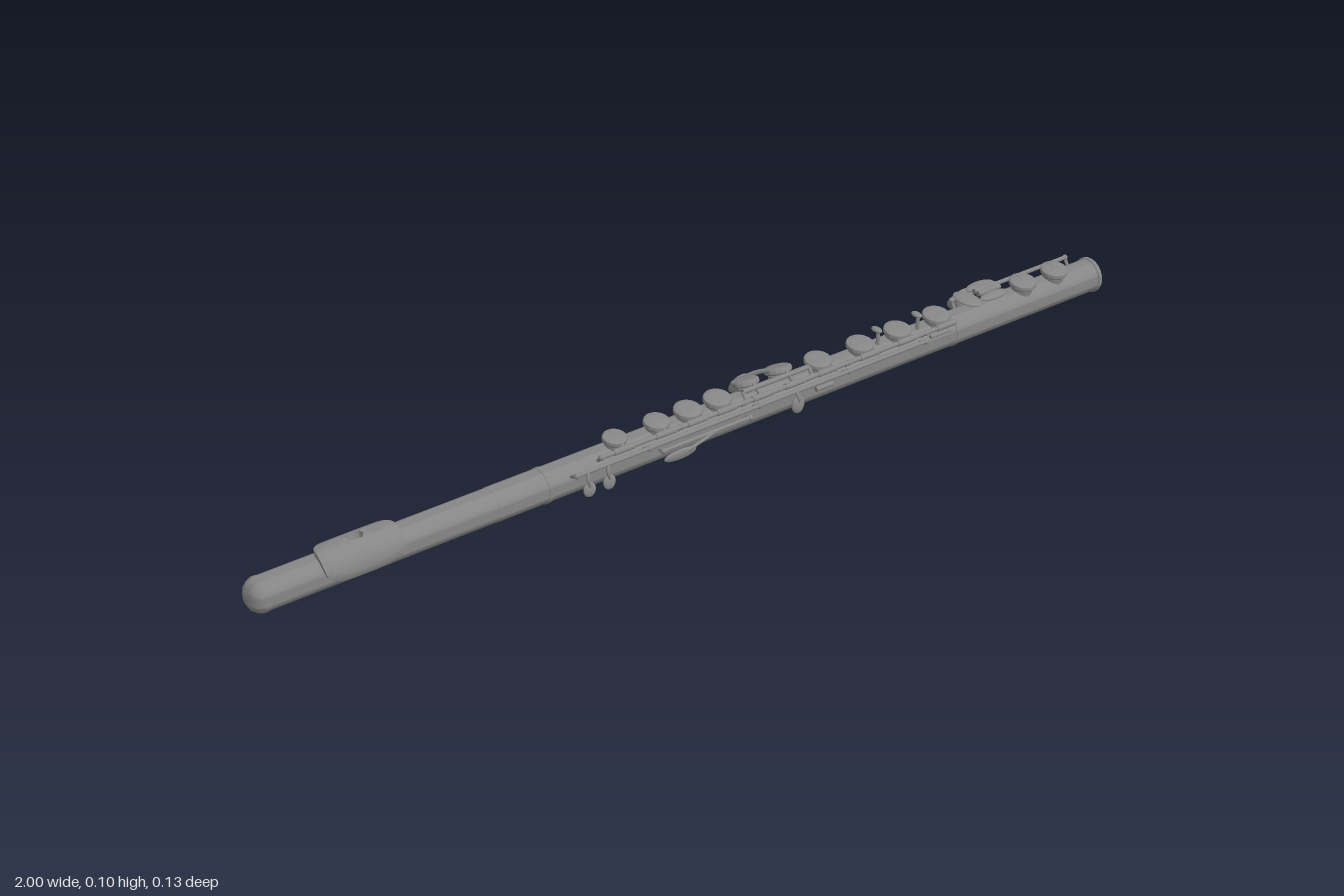
import * as THREE from 'three';
import { toCreasedNormals } from 'three/addons/utils/BufferGeometryUtils.js';

const mat = new THREE.MeshStandardMaterial({ color: 0x868686 });
const thinMat = new THREE.MeshStandardMaterial({ color: 0x868686, side: THREE.DoubleSide });
const CY = 0.037, CZ = 0.002; // tube axis
const V = (x, y, z) => new THREE.Vector3(x, y, z);

// Point at station x, angle a (0 = up, positive = front) and distance r from the tube axis
const polar = (x, a, r) => V(x, CY + r * Math.cos(a), CZ + r * Math.sin(a));

function add(parent, name, geo, material = mat) {
  const m = new THREE.Mesh(geo, material);
  m.name = name;
  parent.add(m);
  return m;
}

const lathe = (pts, seg) =>
  toCreasedNormals(new THREE.LatheGeometry(pts.map(([r, h]) => new THREE.Vector2(r, h)), seg), 0.6);

// Round bar between two points
function bar(parent, name, a, b, r = 0.004) {
  const m = add(parent, name, new THREE.CylinderGeometry(r, r, a.distanceTo(b), 10));
  m.position.copy(a).add(b).multiplyScalar(0.5);
  m.quaternion.setFromUnitVectors(V(0, 1, 0), b.clone().sub(a).normalize());
}

// Bent arm through several points
function arm(parent, name, pts, r = 0.0035) {
  add(parent, name, new THREE.TubeGeometry(new THREE.CatmullRomCurve3(pts), 14, r, 8));
}

// Flattened oval touch piece, lying around the tube at angle a
function paddle(parent, name, p, sx, sy, sz, a = 0, yaw = 0) {
  const m = add(parent, name, new THREE.SphereGeometry(1, 20, 12));
  m.scale.set(sx, sy, sz);
  m.position.copy(p);
  m.rotation.set(a, yaw, 0);
}

// Support post with a ball head, from the tube wall to p
function post(parent, p) {
  bar(parent, 'post', V(p.x, CY, CZ).lerp(p, 0.6), p, 0.0035);
  add(parent, 'postHead', new THREE.SphereGeometry(0.006, 12, 8)).position.copy(p);
}

// Padded key cup with a shallow domed lid, standing over its tone hole
function keyCup(parent, x, a, r = 0.028, lift = 0.041) {
  const g = new THREE.Group();
  g.name = 'key';
  g.position.set(x, CY, CZ);
  g.rotation.x = a;
  const cup = add(g, 'keyCup', lathe([[0, 0], [r * 0.92, 0], [r, 0.003], [r, 0.008], [r * 0.96, 0.0105],
    [r * 0.85, 0.012], [r * 0.5, 0.0128], [0, 0.013]], 28));
  cup.position.y = lift;
  const hole = add(g, 'toneHole', new THREE.CylinderGeometry(r * 0.78, r * 0.78, lift - 0.023, 24, 1, true), thinMat);
  hole.position.y = (lift + 0.019) / 2;
  parent.add(g);
}

// Lip plate: a curved rounded shell wrapped around the tube, with an embouchure hole
function lipPlateGeometry() {
  const N = 64, rings = [[0, 0.03], [0, 0.0472], [0.25, 0.0468], [0.5, 0.0465], [0.75, 0.0462], [0.93, 0.046],
    [1, 0.044], [1, 0.031]];
  const pos = [], idx = [];
  const squash = v => Math.sign(v) * Math.abs(v) ** 0.6;
  rings.forEach(([s, r], j) => {
    for (let i = 0; i < N; i++) {
      const t = i / N * Math.PI * 2, c = Math.cos(t), n = Math.sin(t);
      const x = -0.774 + THREE.MathUtils.lerp(0.017 * c, 0.084 * squash(c), s);
      const a = THREE.MathUtils.lerp(0.28 * n, 0.6 + 1.36 * squash(n), s);
      // thinner towards the front skirt
      const thin = r > 0.04 ? 0.005 * Math.max(0, Math.sin(a)) : 0;
      pos.push(...polar(x, a, r - thin).toArray());
      if (j < rings.length - 1) {
        const p = j * N + i, q = j * N + (i + 1) % N;
        idx.push(p, q, p + N, q, q + N, p + N);
      }
    }
  });
  const g = new THREE.BufferGeometry();
  g.setAttribute('position', new THREE.Float32BufferAttribute(pos, 3));
  g.setIndex(idx);
  return toCreasedNormals(g, 0.7);
}

export function createModel() {
  const root = new THREE.Group();
  root.name = 'flute';

  // Tube: crown, head joint, barrel, body, foot socket, foot and open bore with a domed stopper
  const tube = add(root, 'tube', lathe([[0, -1], [0.014, -0.998], [0.025, -0.992], [0.031, -0.984], [0.0345, -0.975],
    [0.0345, -0.968], [0.0335, -0.966], [0.0335, -0.487], [0.0342, -0.486], [0.0342, -0.377], [0.0355, -0.376],
    [0.0355, -0.368], [0.034, -0.367], [0.034, 0.609], [0.0355, 0.61], [0.0355, 0.616], [0.034, 0.617],
    [0.034, 0.99], [0.0368, 0.992], [0.0368, 0.998], [0.0355, 1], [0.0325, 1], [0.031, 0.99], [0.031, -0.87],
    [0.029, -0.882], [0.023, -0.893], [0.013, -0.9], [0, -0.902]], 48));
  tube.rotation.z = -Math.PI / 2;
  tube.position.set(0, CY, CZ);

  add(root, 'lipPlate', lipPlateGeometry(), thinMat);

  // Main stack: hinge rod, cups and their arms
  const keys = new THREE.Group();
  keys.name = 'mainKeys';
  root.add(keys);
  const mainY = 0.073, mainZ = 0.037;
  bar(keys, 'mainRod', V(-0.26, mainY, mainZ), V(0.6, mainY, mainZ), 0.005);
  for (const x of [-0.26, -0.075, 0.075, 0.235, 0.33, 0.525, 0.6]) post(keys, V(x, mainY, mainZ));
  const stack = [[-0.21, 0.15, 0.024], [-0.113, 0.15, 0.026], [-0.04, 0.15], [0.03, 0.15], [0.115, -0.36], [0.195, -0.36],
    [0.275, 0.15], [0.38, 0.15], [0.475, 0.15], [0.575, 0.15]];
  for (const [x, a, r] of stack) {
    keyCup(keys, x, a, r);
    arm(keys, 'keyArm', [V(x, mainY, mainZ), polar(x, a + 0.42, 0.053), polar(x, a, 0.051)], 0.004);
    bar(keys, 'hingeSleeve', V(x - 0.022, mainY, mainZ), V(x + 0.022, mainY, mainZ), 0.0065);
  }
  // Linkage rod beside the two rear-leaning cups
  bar(keys, 'linkRod', V(0.08, 0.088, 0.024), V(0.24, 0.088, 0.024), 0.005);
  for (const x of [0.08, 0.24]) bar(keys, 'linkPost', V(x, mainY, mainZ), V(x, 0.088, 0.024), 0.004);
  // Small adjusting touches
  for (const x of [0.425, 0.527]) {
    bar(keys, 'adjusterStem', V(x, 0.066, 0.01), V(x, 0.099, 0.01), 0.004);
    paddle(keys, 'adjusterTouch', V(x, 0.1, 0.006), 0.008, 0.005, 0.014);
  }

  // Front trill rods with posts and hanging touches
  const trill = new THREE.Group();
  trill.name = 'trillMechanism';
  root.add(trill);
  const tY = 0.063, tZ = 0.05;
  bar(trill, 'trillRod', V(-0.325, tY, tZ), V(0.515, tY, tZ), 0.0042);
  for (const x of [-0.325, -0.16, 0.1, 0.32, 0.515]) post(trill, V(x, tY, tZ));
  for (const x of [-0.3, -0.255]) {
    arm(trill, 'trillArm', [V(x, tY, tZ), V(x - 0.004, 0.05, 0.056), V(x, 0.034, 0.056)]);
    paddle(trill, 'trillTouch', V(x, 0.027, 0.054), 0.014, 0.015, 0.005, -0.1);
  }
  arm(trill, 'sideArm', [V(0.19, tY, tZ), V(0.19, 0.052, 0.058), V(0.19, 0.038, 0.055)]);
  paddle(trill, 'sideTouch', V(0.19, 0.036, 0.055), 0.015, 0.018, 0.006, -0.05);
  bar(trill, 'roller', V(0.23, 0.058, 0.06), V(0.27, 0.058, 0.06), 0.005);

  // Long side lever below the trill rods
  bar(trill, 'leverRod', V(-0.125, 0.043, 0.047), V(0.08, 0.043, 0.047), 0.004);
  for (const x of [-0.125, 0.08]) post(trill, V(x, 0.043, 0.047));
  arm(trill, 'leverArm', [V(0.0, 0.043, 0.047), V(-0.04, 0.036, 0.052), V(-0.08, 0.026, 0.052)]);
  paddle(trill, 'leverTouch', V(-0.088, 0.024, 0.05), 0.038, 0.012, 0.005, 0.15);
  // Rear end of the rod work near the foot
  bar(trill, 'shortRod', V(0.53, 0.066, 0.046), V(0.58, 0.066, 0.046), 0.004);

  // Thumb key: a hooked lever hanging down the back
  const thumb = new THREE.Group();
  thumb.name = 'thumbKey';
  root.add(thumb);
  arm(thumb, 'thumbArm', [polar(0.175, -0.4, 0.05), polar(0.165, -0.75, 0.054), polar(0.148, -1.1, 0.06),
    polar(0.135, -1.3, 0.061)], 0.005);
  paddle(thumb, 'thumbTouch', polar(0.132, -1.3, 0.06), 0.024, 0.005, 0.027, -1.15);

  // Foot joint: rod, cups, rear cup, rollers and spatulas
  const foot = new THREE.Group();
  foot.name = 'footKeys';
  root.add(foot);
  const fY = 0.08, fZ = -0.024;
  bar(foot, 'footRod', V(0.645, fY, fZ), V(0.95, fY, fZ), 0.0045);
  for (const x of [0.645, 0.755, 0.95]) post(foot, V(x, fY, fZ));
  for (const x of [0.805, 0.89]) {
    keyCup(foot, x, 0.15);
    arm(foot, 'footArm', [V(x, fY, fZ), polar(x, -0.2, 0.054), polar(x, 0.15, 0.051)], 0.004);
  }
  keyCup(foot, 0.685, -1.0, 0.031, 0.046);
  arm(foot, 'rearKeyArm', [V(0.685, fY, fZ), polar(0.685, -0.75, 0.06), polar(0.685, -1, 0.057)], 0.004);
  paddle(foot, 'spatula', V(0.655, 0.095, 0.012), 0.021, 0.005, 0.034, 0.08, 0.2);
  paddle(foot, 'spatula', V(0.712, 0.095, -0.016), 0.035, 0.005, 0.016, 0.05);
  paddle(foot, 'spatula', V(0.712, 0.092, 0.025), 0.035, 0.005, 0.012, 0.2);
  for (const z of [0, 0.012]) bar(foot, 'roller', V(0.682, 0.098, z), V(0.738, 0.098, z), 0.006);
  for (const x of [0.655, 0.73]) arm(foot, 'spatulaArm', [V(x, fY, fZ), V(x, 0.089, -0.012), V(x, 0.09, 0.008)], 0.004);

  return root;
}
